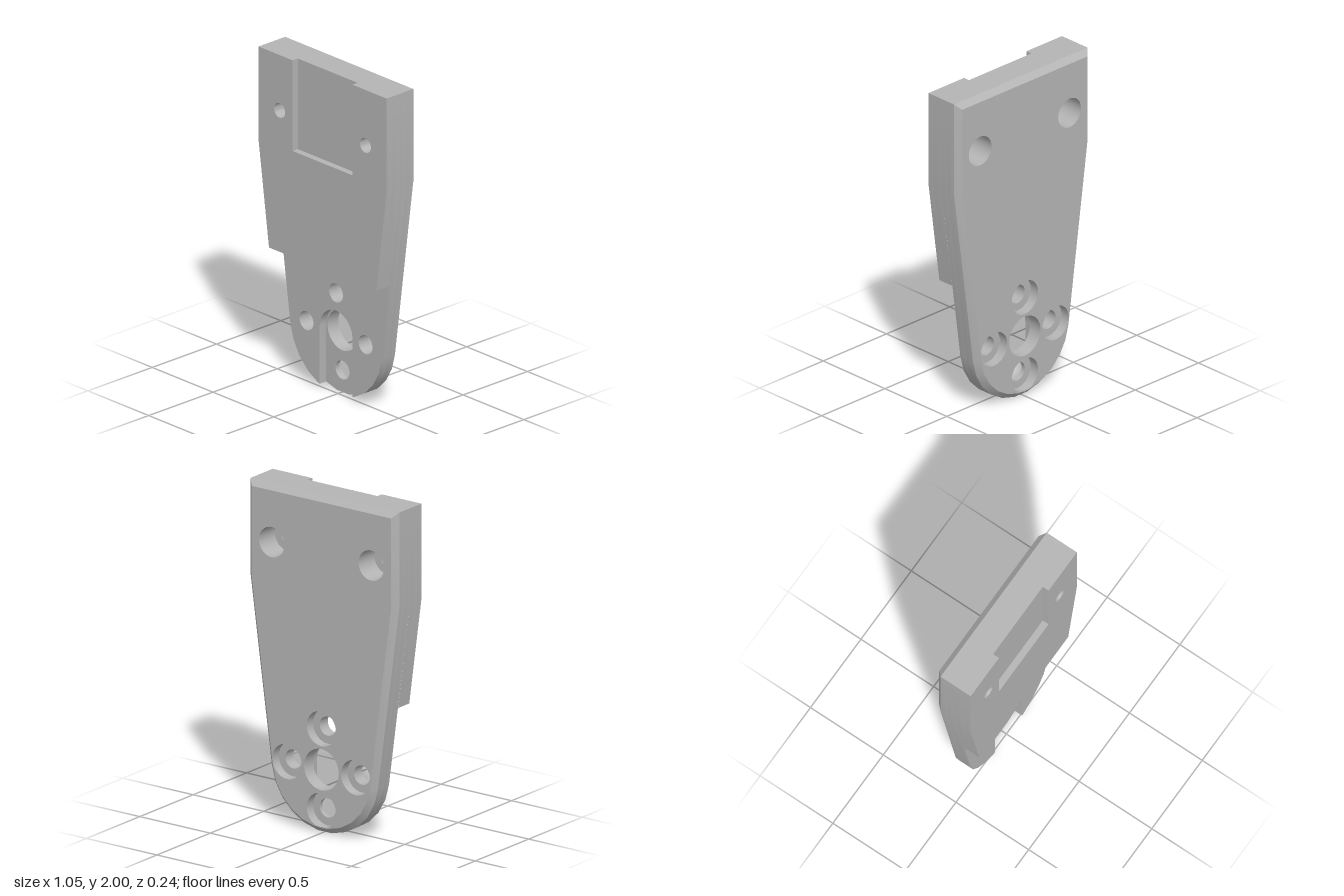
import * as THREE from 'three';
import { mergeGeometries, toCreasedNormals } from 'three/addons/utils/BufferGeometryUtils.js';

const P = (x, y) => new THREE.Vector2(x, y);

// Points on an arc, angles in degrees
function arc(cx, cy, r, from, to, steps) {
  const pts = [];
  for (let i = 0; i <= steps; i++) {
    const a = THREE.MathUtils.degToRad(from + (to - from) * i / steps);
    pts.push(P(cx + r * Math.cos(a), cy + r * Math.sin(a)));
  }
  return pts;
}

const circle = ([x, y], r) => arc(x, y, r, 0, 360, 32).slice(0, -1);

// Move a counter-clockwise loop inward by d, with mitred corners
function inset(loop, d) {
  const n = loop.length;
  const normal = (a, b) => P(b.y - a.y, a.x - b.x).normalize();
  return loop.map((p, i) => {
    const n1 = normal(loop[(i + n - 1) % n], p);
    const n2 = normal(p, loop[(i + 1) % n]);
    return p.clone().addScaledVector(n1.clone().add(n2), -d / (1 + n1.dot(n2)));
  });
}

// Strip between loop a at z0 and loop b at z1; counter-clockwise loops face outward
function wall(a, z0, z1, b = a) {
  const pos = [];
  a.forEach((p, i) => {
    const j = (i + 1) % a.length;
    const q = a[j], r = b[j], s = b[i];
    pos.push(p.x, p.y, z0, q.x, q.y, z0, r.x, r.y, z1);
    pos.push(p.x, p.y, z0, r.x, r.y, z1, s.x, s.y, z1);
  });
  const g = new THREE.BufferGeometry();
  g.setAttribute('position', new THREE.Float32BufferAttribute(pos, 3));
  return toCreasedNormals(g, 0.4);
}

const bore = (loop, z0, z1) => wall([...loop].reverse(), z0, z1);

// Flat face with holes, looking forward or backward
function face(loop, holes, z, backward = false) {
  const shape = new THREE.Shape(loop);
  shape.holes = holes.map((h) => new THREE.Path(h));
  const g = new THREE.ShapeGeometry(shape).toNonIndexed();
  g.deleteAttribute('uv');
  if (backward) {
    const p = g.attributes.position;
    for (let i = 0; i < p.count; i += 3) {
      const x = p.getX(i), y = p.getY(i);
      p.setXY(i, p.getX(i + 1), p.getY(i + 1));
      p.setXY(i + 1, x, y);
    }
    g.computeVertexNormals();
  }
  return g.translate(0, 0, z);
}

export function createModel() {
  const group = new THREE.Group();
  const grey = new THREE.MeshStandardMaterial({ color: 0xb4b4b4 });
  const add = (name, ...geometries) => {
    const mesh = new THREE.Mesh(mergeGeometries(geometries), grey);
    mesh.name = name;
    group.add(mesh);
  };

  // Depth levels from back to front
  const zBack = -0.12, zChamfer = -0.087, zSeat = -0.06, zSlot = -0.035;
  const zPlate = 0.015, zDeepSeat = 0.03, zPocket = 0.08, zFront = 0.12;

  // Outlines
  const cy = 0.377, W = 0.527, stepY = 0.795, stepX = 0.441;
  const slotR = 0.135, slotY = 0.024;
  const round = arc(0, cy, 0.38, 187.5, 352.5, 11);
  const top = [P(W, 2), P(-W, 2)];
  const outline = [...top, P(-W, 1.43), ...round, P(W, 1.43)];
  const rim = inset(outline, 0.033);
  const slotArc = arc(0, cy, slotR, 0, 180, 20);
  const slot = [P(-slotR, slotY), round[5], round[6], P(slotR, slotY), ...slotArc];
  const slottedEnd = [...round.slice(0, 5), P(-slotR, slotY), ...[...slotArc].reverse(),
    P(slotR, slotY), ...round.slice(7)];
  const slotted = [...top, P(-W, 1.43), ...slottedEnd, P(W, 1.43)];
  const plateFront = [P(stepX, stepY), P(-stepX, stepY), ...slottedEnd];
  const blockEnd = [P(-W, 2), P(-W, 1.43), P(-stepX, stepY), P(stepX, stepY), P(W, 1.43), P(W, 2)];
  const px = 0.246, py = 1.445;
  const pocket = [P(-px, py), P(px, py), P(px, 2), P(-px, 2)];
  const pocketed = [...blockEnd, P(px, 2), P(px, py), P(-px, py), P(-px, 2)];

  // Hole positions
  const d = 0.243;
  const ring = [[0, cy + d], [-d, cy], [d, cy], [0, cy - d]];
  const upper = [[-0.353, 1.66], [0.353, 1.66]];
  const small = ring.map((c) => circle(c, 0.057));
  const large = ring.map((c) => circle(c, 0.106 - 0.002));
  const pin = upper.map((c) => circle(c, 0.045));
  const pinSeat = upper.map((c) => circle(c, 0.09));
  const centre = circle([0, cy], 0.123);

  // Base plate
  add('backFace', face(rim, [...large, ...pinSeat, centre], zBack, true));
  add('backChamfer', wall(rim, zBack, zChamfer, outline));
  add('plateSides', wall(outline, zChamfer, zSlot), wall(slotted, zSlot, zPlate));
  add('plateFront', face(plateFront, small.slice(0, 3), zPlate));
  add('slotFloor', face(slot, [centre, small[3]], zSlot));

  // Raised block with its pocket
  add('blockSides', wall(blockEnd, zPlate, zPocket), wall(pocketed, zPocket, zFront));
  add('blockFront', face(pocketed, pin, zFront));
  add('pocketFloor', face(pocket, [], zPocket));

  // Bores
  add('centreBore', bore(centre, zBack, zSlot));
  ring.forEach((_, i) => add('ringBore' + (i + 1),
    bore(large[i], zBack, zSeat),
    face(large[i], [small[i]], zSeat, true),
    bore(small[i], zSeat, i === 3 ? zSlot : zPlate)));
  upper.forEach((_, i) => add(i ? 'leftPinBore' : 'rightPinBore',
    bore(pinSeat[i], zBack, zDeepSeat),
    face(pinSeat[i], [pin[i]], zDeepSeat, true),
    bore(pin[i], zDeepSeat, zFront)));

  return group;
}
